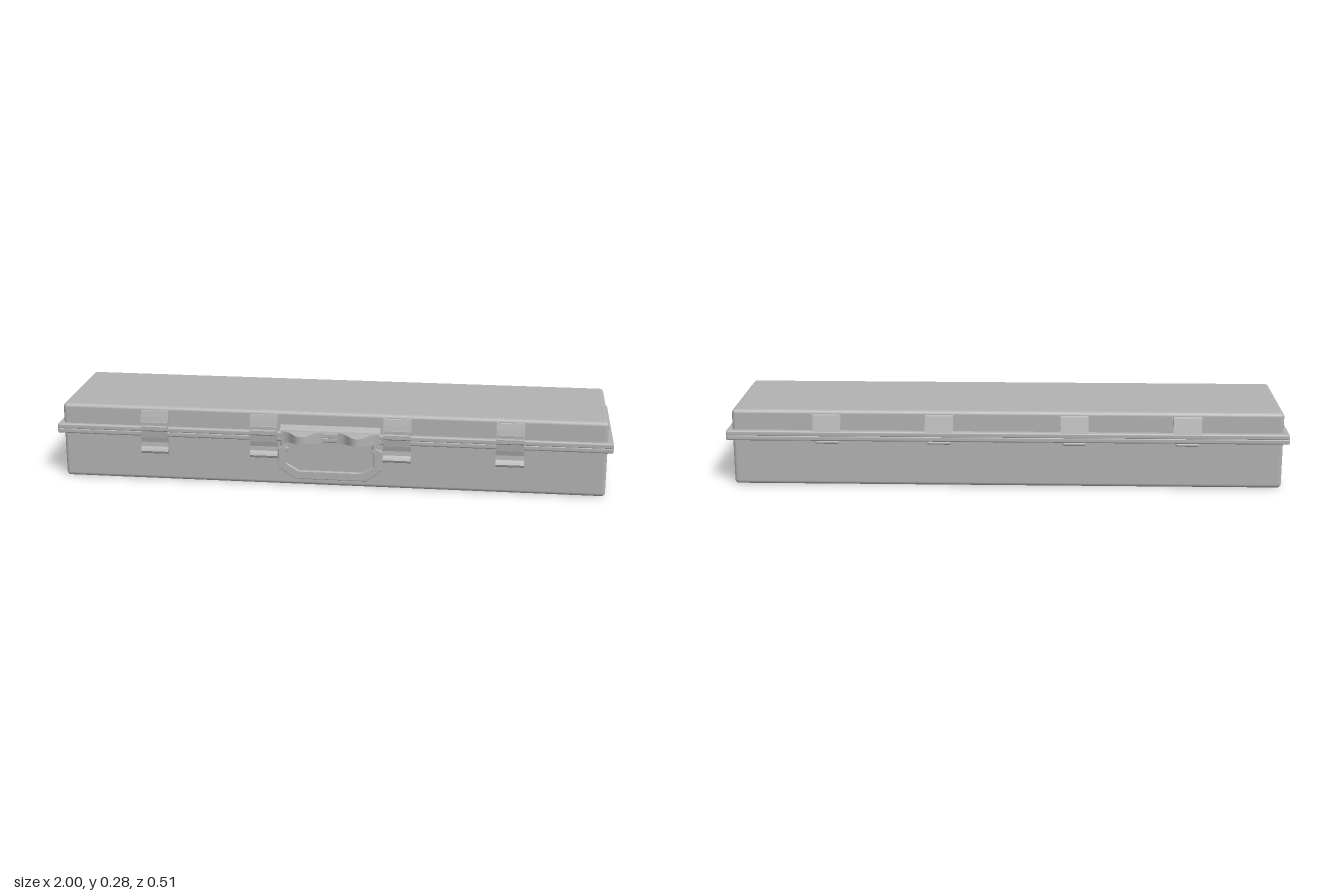
import * as THREE from 'three';
import { RoundedBoxGeometry } from 'three/addons/geometries/RoundedBoxGeometry.js';

export function createModel() {
  const group = new THREE.Group();
  const grey = new THREE.MeshStandardMaterial({ color: 0xb2b2b2 });
  grey.name = 'grey plastic';

  const add = (name, geometry) => {
    const mesh = new THREE.Mesh(geometry, grey);
    mesh.name = name;
    group.add(mesh);
    return mesh;
  };

  // Rounded box given by its lower and upper limits
  const block = (name, lo, hi, radius) => {
    const size = hi.map((v, i) => v - lo[i]);
    add(name, new RoundedBoxGeometry(...size, 4, radius))
      .position.set(...hi.map((v, i) => (v + lo[i]) / 2));
  };

  // Profile of [z, y] points, extruded across x
  const profile = (name, points, x, width) => {
    const shape = new THREE.Shape(points.map(p => new THREE.Vector2(...p)));
    const geo = new THREE.ExtrudeGeometry(shape, { depth: width, bevelEnabled: false });
    geo.rotateY(-Math.PI / 2);
    geo.translate(x + width / 2, 0, 0);
    add(name, geo);
  };

  // Case shells and the rim around the seam
  block('body', [-0.98, 0, -0.235], [0.98, 0.2, 0.197], 0.014);
  block('lid', [-0.98, 0.17, -0.235], [0.98, 0.277, 0.197], 0.014);
  block('lowerRim', [-1, 0.168, -0.254], [1, 0.188, 0.211], 0.006);
  block('upperRim', [-1, 0.184, -0.254], [1, 0.204, 0.211], 0.006);

  for (const x of [-0.64, -0.24, 0.24, 0.64]) {
    // Front latch: flared lid mount, clasp and curled pull tab
    profile('latchMount', [[0.18, 0.2], [0.213, 0.2], [0.21, 0.215], [0.204, 0.24],
      [0.198, 0.262], [0.19, 0.272], [0.18, 0.272]], x, 0.1);
    profile('latchClasp', [[0.2, 0.165], [0.215, 0.165], [0.218, 0.19], [0.223, 0.194],
      [0.223, 0.208], [0.217, 0.211], [0.217, 0.222], [0.2, 0.222]], x, 0.096);
    profile('latchTab', [[0.19, 0.102], [0.206, 0.102], [0.215, 0.106], [0.219, 0.114],
      [0.215, 0.122], [0.207, 0.129], [0.205, 0.145], [0.211, 0.168], [0.19, 0.168]], x, 0.1);

    // Back hinge: flared lid mount and the knuckle under the rim
    profile('hingeMount', [[-0.253, 0.2], [-0.22, 0.2], [-0.22, 0.272],
      [-0.232, 0.27], [-0.237, 0.258], [-0.244, 0.232]], x, 0.1);
    const knuckle = new THREE.CapsuleGeometry(0.007, 0.07, 4, 12);
    knuckle.rotateZ(Math.PI / 2);
    add('hingeKnuckle', knuckle).position.set(x, 0.162, -0.241);
  }

  // Rounded grip bumps on the rim, thinning outwards
  for (const x of [-0.1, 0.1]) {
    const bump = new THREE.Shape();
    bump.moveTo(-0.075, -0.2);
    bump.lineTo(-0.075, -0.212);
    bump.bezierCurveTo(-0.03, -0.215, -0.035, -0.253, 0, -0.254);
    bump.bezierCurveTo(0.035, -0.253, 0.03, -0.215, 0.075, -0.212);
    bump.lineTo(0.075, -0.2);
    const geo = new THREE.ExtrudeGeometry(bump, { depth: 0.04, bevelEnabled: false, curveSegments: 12 });
    geo.rotateX(-Math.PI / 2);
    geo.translate(0, -0.02, 0);
    const pos = geo.attributes.position;
    for (let i = 0; i < pos.count; i++) {
      const taper = 1 - 0.3 * Math.min(1, Math.max(0, (pos.getZ(i) - 0.212) / 0.042));
      pos.setY(i, pos.getY(i) * taper);
    }
    geo.computeVertexNormals();
    add('gripBump', geo).position.set(x, 0.187, 0);
  }
  profile('gripFairing', [[0.185, 0.2], [0.211, 0.2], [0.208, 0.21], [0.199, 0.228], [0.185, 0.23]], 0, 0.36);

  // Carrying handle: a chamfered loop, hanging from two pivots
  const outline = [[-0.165, 0.15], [-0.185, 0.14], [-0.185, 0.072], [-0.128, 0.031]];
  const inner = [[-0.115, 0.056], [-0.16, 0.084], [-0.16, 0.13], [-0.152, 0.142]];
  const mirror = pts => pts.map(([x, y]) => [-x, y]).reverse();
  const loop = [...outline, ...mirror(outline), ...mirror(inner), ...inner];
  const handleGeo = new THREE.ExtrudeGeometry(
    new THREE.Shape(loop.map(p => new THREE.Vector2(...p))),
    { depth: 0.006, bevelThickness: 0.004, bevelSize: 0.003, bevelSegments: 3 });
  add('handle', handleGeo).position.z = 0.203;
  for (const x of [-0.165, 0.165]) {
    block('handlePivot', [x - 0.014, 0.138, 0.19], [x + 0.014, 0.172, 0.21], 0.006);
  }

  return group;
}
